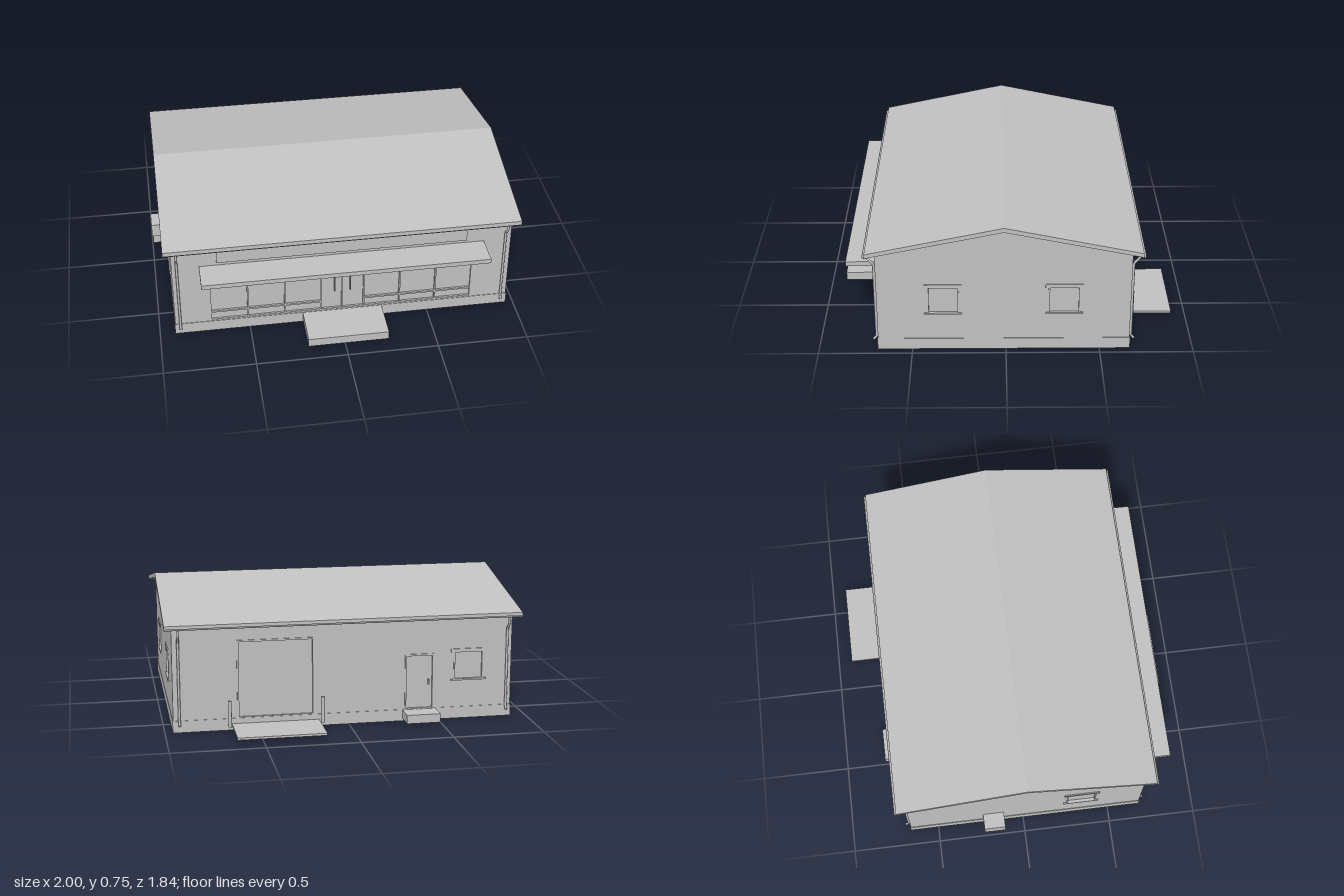
import * as THREE from 'three';

const grey = new THREE.MeshStandardMaterial({ color: 0xc0c0c0, side: THREE.DoubleSide });
grey.name = 'plain grey';

// Building shell limits
const X0 = -0.913, X1 = 0.955, Z0 = -0.66, Z1 = 0.683, CX = 0.021, CZ = 0.01;
const T = 0.025, EAVE = 0.582, APEX = 0.722;

function add(parent, name, geometry) {
  const mesh = new THREE.Mesh(geometry, grey);
  mesh.name = name;
  parent.add(mesh);
  return mesh;
}

// Box given by its limits on each axis
function box(parent, name, x0, x1, y0, y1, z0, z1) {
  const mesh = add(parent, name, new THREE.BoxGeometry(x1 - x0, y1 - y0, z1 - z0));
  mesh.position.set((x0 + x1) / 2, (y0 + y1) / 2, (z0 + z1) / 2);
  return mesh;
}

// Extruded outline with rectangular openings [x0, x1, y0, y1]
function slab(outline, openings, depth) {
  const shape = new THREE.Shape(outline.map(([x, y]) => new THREE.Vector2(x, y)));
  for (const [a, b, c, d] of openings) {
    shape.holes.push(new THREE.Path([[a, c], [a, d], [b, d], [b, c]].map(([x, y]) => new THREE.Vector2(x, y))));
  }
  return new THREE.ExtrudeGeometry(shape, { depth, bevelEnabled: false });
}

// Small window facing local +z, with the wall face at z = 0
function smallWindow(x, z, turn) {
  const g = new THREE.Group();
  g.name = 'smallWindow';
  box(g, 'pane', -0.082, 0.082, 0.225, 0.375, -0.016, -0.010);
  box(g, 'lintel', -0.1, 0.1, 0.375, 0.395, -0.005, 0.006);
  box(g, 'sill', -0.1, 0.1, 0.216, 0.225, -0.005, 0.008);
  for (const s of [-1, 1]) {
    const jamb = box(g, 'jamb', -0.004, 0.004, 0.225, 0.375, -0.02, 0.003);
    jamb.position.x = s * 0.08;
  }
  g.position.set(x, 0, z);
  g.rotation.y = turn;
  return g;
}

export function createModel() {
  const model = new THREE.Group();
  model.name = 'building';

  // Long walls
  const rect = [[X0, 0], [X1, 0], [X1, EAVE], [X0, EAVE]];
  add(model, 'frontWall', slab(rect, [[-0.71, 0.742, 0.075, 0.407]], T)).position.z = Z1 - T;
  add(model, 'backWall', slab(rect, [[0.2, 0.6, 0.07, 0.485], [-0.465, -0.32, 0.07, 0.365], [-0.752, -0.588, 0.225, 0.375]], T)).position.z = Z0;

  // Gable walls
  const gable = [[Z0 + T, 0], [Z1 - T, 0], [Z1 - T, EAVE + 0.005], [CZ, APEX], [Z0 + T, EAVE + 0.005]];
  const frontHole = [0.25, 0.414, 0.225, 0.375], backHole = [-0.39, -0.226, 0.225, 0.375];
  for (const [name, x, holes] of [['leftWall', X1, [frontHole, backHole]], ['rightWall', X0 + T, [frontHole]]]) {
    const geometry = slab(gable, holes, T);
    geometry.rotateY(-Math.PI / 2);
    add(model, name, geometry).position.x = x;
  }

  // Plinth band
  const P = 0.003;
  box(model, 'plinthFront', X0 - P, X1 + P, 0, 0.065, Z1, Z1 + P);
  box(model, 'plinthBack', X0 - P, X1 + P, 0, 0.065, Z0 - P, Z0);
  box(model, 'plinthLeft', X1, X1 + P, 0, 0.065, Z0, Z1);
  box(model, 'plinthRight', X0 - P, X0, 0, 0.065, Z0, Z1);

  // Pitched roof
  const h = 0.723;
  const roof = slab([[CZ - h, 0.573], [CZ, APEX], [CZ + h, 0.573], [CZ + h, 0.596], [CZ, 0.747], [CZ - h, 0.596]], [], 1.95);
  roof.rotateY(-Math.PI / 2);
  add(model, 'roof', roof).position.x = 0.995;

  // Gutters and downpipes, mirrored front to back
  for (const s of [1, -1]) {
    const gutter = add(model, 'gutter', new THREE.CylinderGeometry(0.012, 0.012, 1.95, 10, 1, true, 0, Math.PI));
    gutter.geometry.rotateZ(Math.PI / 2);
    gutter.geometry.computeBoundingBox();
    if (gutter.geometry.boundingBox.max.y > 0.006) gutter.geometry.rotateX(Math.PI);
    gutter.position.set(0.02, 0.583, CZ + s * 0.722);
    const wall = s > 0 ? Z1 : Z0;
    for (const x of [-0.885, 0.922]) {
      const path = new THREE.CurvePath();
      const pts = [[0.045, 0.575], [0.045, 0.54], [0.009, 0.5], [0.009, 0.06], [0.026, 0.042]]
        .map(([z, y]) => new THREE.Vector3(x, y, wall + s * z));
      for (let i = 1; i < pts.length; i++) path.add(new THREE.LineCurve3(pts[i - 1], pts[i]));
      add(model, 'downpipe', new THREE.TubeGeometry(path, 40, 0.007, 8, false));
    }
  }

  // Shop front: panes, mullions and rails
  const shop = new THREE.Group();
  shop.name = 'shopFront';
  model.add(shop);
  const columns = [-0.71, -0.508, -0.303, -0.103, 0.138, 0.34, 0.542, 0.742];
  box(shop, 'glazing', -0.71, 0.742, 0.075, 0.407, Z1 - 0.017, Z1 - 0.011);
  for (const x of columns.slice(1, -1)) box(shop, 'mullion', x - 0.004, x + 0.004, 0.075, 0.407, Z1 - T, Z1 + 0.002);
  box(shop, 'topRail', -0.71, 0.742, 0.35, 0.36, Z1 - T, Z1);
  box(shop, 'bottomRail', -0.71, -0.103, 0.122, 0.132, Z1 - T, Z1);
  box(shop, 'bottomRail', 0.138, 0.742, 0.122, 0.132, Z1 - T, Z1);
  box(shop, 'doorMeetingStile', 0.013, 0.022, 0.075, 0.35, Z1 - T, Z1 - 0.004);
  for (const x of [-0.025, 0.062]) box(shop, 'doorHandle', x - 0.003, x + 0.003, 0.195, 0.288, Z1 - 0.012, Z1 + 0.006);

  // Blank fascia board, canopy with brackets, front step
  box(model, 'fasciaBoard', -0.67, 0.705, 0.468, 0.566, Z1, Z1 + 0.008);
  box(model, 'canopy', -0.765, 0.803, 0.423, 0.449, Z1, 0.852);
  for (let i = 0; i < 6; i++) {
    const x = -0.722 + i * 0.297;
    box(model, 'canopyBracket', x - 0.005, x + 0.005, 0.388, 0.423, Z1 - T, Z1 + 0.018);
  }
  box(model, 'frontStep', -0.205, 0.24, 0.015, 0.063, Z1, 0.918);

  // Small windows
  model.add(
    smallWindow(X1, 0.332, Math.PI / 2),
    smallWindow(X1, -0.308, Math.PI / 2),
    smallWindow(X0, 0.332, -Math.PI / 2),
    smallWindow(-0.67, Z0, Math.PI),
  );

  // Loading door with frame, ramp and posts
  box(model, 'loadingDoor', 0.2, 0.6, 0.07, 0.485, Z0 + 0.01, Z0 + 0.016);
  box(model, 'loadingDoorHead', 0.19, 0.61, 0.485, 0.495, Z0 - 0.006, Z0);
  for (const x of [0.195, 0.605]) box(model, 'loadingDoorJamb', x - 0.005, x + 0.005, 0.07, 0.485, Z0 - 0.006, Z0);
  box(model, 'loadingRamp', 0.165, 0.64, 0.023, 0.035, -0.92, Z0);
  for (const x of [0.15, 0.655]) {
    const post = add(model, 'guardPost', new THREE.CylinderGeometry(0.01, 0.01, 0.145, 12));
    post.position.set(x, 0.1, -0.7);
  }

  // Back door with step
  box(model, 'backDoor', -0.465, -0.32, 0.07, 0.365, Z0 + 0.008, Z0 + 0.014);
  box(model, 'backDoorHead', -0.473, -0.312, 0.365, 0.375, Z0 - 0.006, Z0);
  for (const x of [-0.469, -0.316]) box(model, 'backDoorJamb', x - 0.004, x + 0.004, 0.07, 0.365, Z0 - 0.004, Z0);
  box(model, 'backDoorHandle', -0.45, -0.442, 0.2, 0.23, Z0 - 0.006, Z0 + 0.01);
  box(model, 'backStep', -0.487, -0.3, 0.015, 0.063, -0.772, Z0);

  // Wall-mounted cooling unit on bracket plates
  box(model, 'coolingUnit', -1, X0, 0.09, 0.17, -0.235, -0.115);
  for (const z of [-0.215, -0.135]) box(model, 'coolingBracket', -0.995, X0, 0.03, 0.09, z - 0.003, z + 0.003);

  return model;
}
